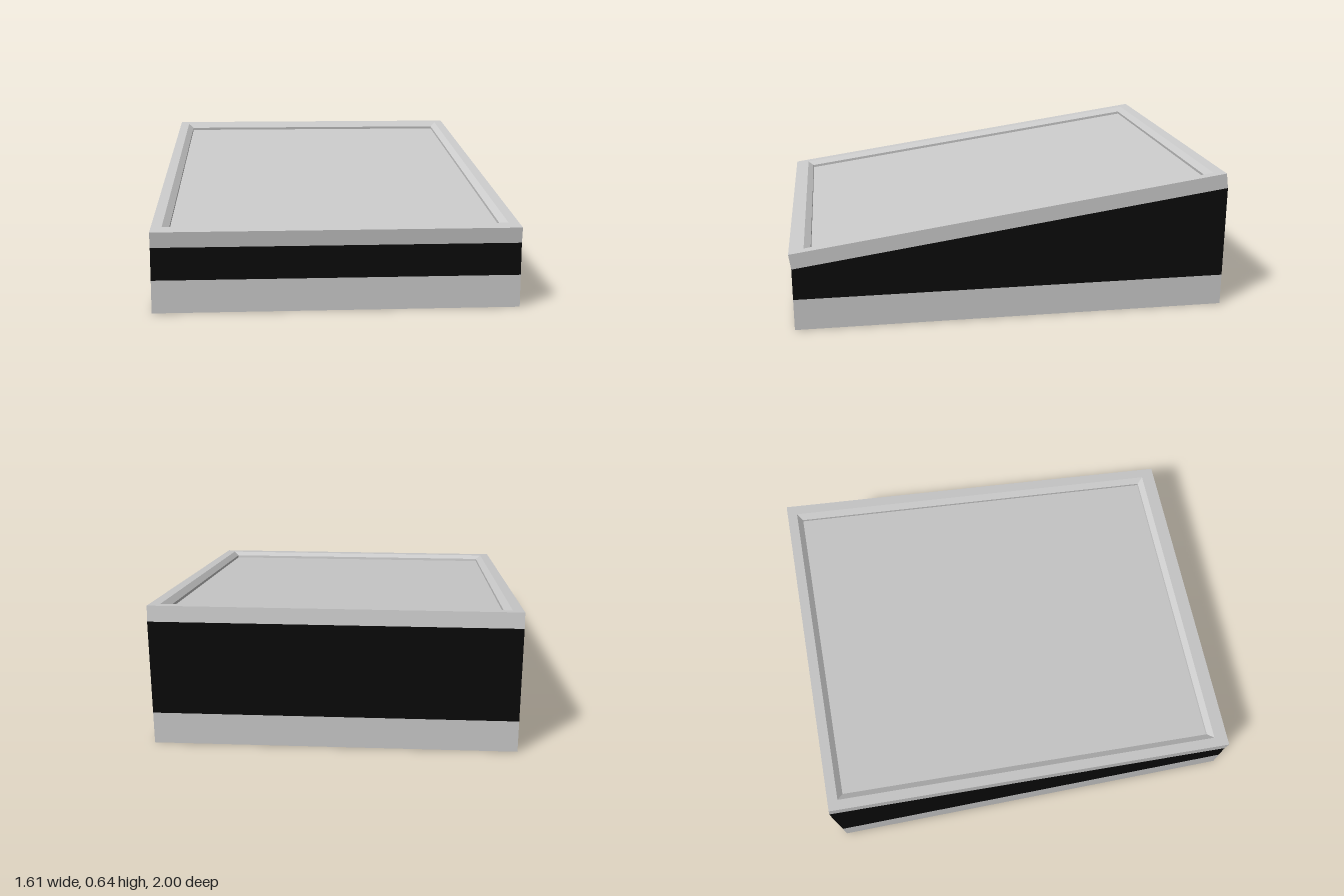
import * as THREE from 'three';

const TILT = 0.141;       // slope of the lid
const HX = 0.805;         // half width of the box
const HZ = 0.995;         // half depth of the box
const ZC = -0.005;        // centre of the box in z

const grey = new THREE.MeshStandardMaterial({ color: 0xcccccc, flatShading: true, side: THREE.DoubleSide });
const black = new THREE.MeshStandardMaterial({ color: 0x0a0a0a, flatShading: true, side: THREE.DoubleSide });

// Height of the sloping top of the walls at depth z
const slopeY = (z) => 0.43 - (z - ZC) * Math.tan(TILT);

// Joins rectangular rings [halfX, halfZ, y, zOffset]; y may be a function of z.
// Rings run up the outside, over the top and down the inside.
function rectLoft(name, rings, material, closed) {
  const corners = [[-1, 1], [1, 1], [1, -1], [-1, -1]];
  const point = ([hx, hz, y, dz = 0], c) => {
    const [sx, sz] = corners[c % 4];
    const z = sz * hz + dz;
    return [sx * hx, typeof y === 'function' ? y(z) : y, z];
  };
  const pos = [];
  const count = closed ? rings.length : rings.length - 1;
  for (let i = 0; i < count; i++) {
    const lower = rings[i], upper = rings[(i + 1) % rings.length];
    for (let c = 0; c < 4; c++) {
      const a = point(lower, c), b = point(lower, c + 1);
      const d = point(upper, c), e = point(upper, c + 1);
      pos.push(...a, ...b, ...e, ...a, ...e, ...d);
    }
  }
  const geometry = new THREE.BufferGeometry();
  geometry.setAttribute('position', new THREE.Float32BufferAttribute(pos, 3));
  geometry.computeVertexNormals();
  const mesh = new THREE.Mesh(geometry, material);
  mesh.name = name;
  return mesh;
}

export function createModel() {
  const model = new THREE.Group();
  model.name = 'slopedBox';

  // Thin open skirt at the bottom
  model.add(rectLoft('baseSkirt', [[HX, HZ, 0, ZC], [HX, HZ, 0.145, ZC]], grey, false));

  // Thick dark walls whose tops follow the slope
  model.add(rectLoft('wedgeWalls', [
    [HX, HZ, 0.145, ZC],
    [HX, HZ, slopeY, ZC],
    [0.73, 0.915, slopeY, ZC - 0.01],
    [0.73, 0.915, 0.145, ZC - 0.01],
  ], black, true));

  // Tilted lid: bevelled frame around a recessed panel
  const lid = new THREE.Group();
  lid.name = 'lid';
  lid.position.set(0, 0.43, ZC);
  lid.rotation.x = TILT;
  const hz = HZ / Math.cos(TILT);
  lid.add(rectLoft('lidFrame', [
    [HX, hz, 0],
    [HX, hz, 0.07],
    [0.758, 0.948, 0.07, -0.01],
    [0.73, 0.921, 0.051, -0.01],
    [0.73, 0.921, 0, -0.01],
  ], grey, true));

  const panel = new THREE.Mesh(new THREE.BoxGeometry(1.46, 0.02, 1.842), grey);
  panel.name = 'lidPanel';
  panel.position.set(0, 0.028, -0.01);
  lid.add(panel);
  model.add(lid);

  return model;
}
